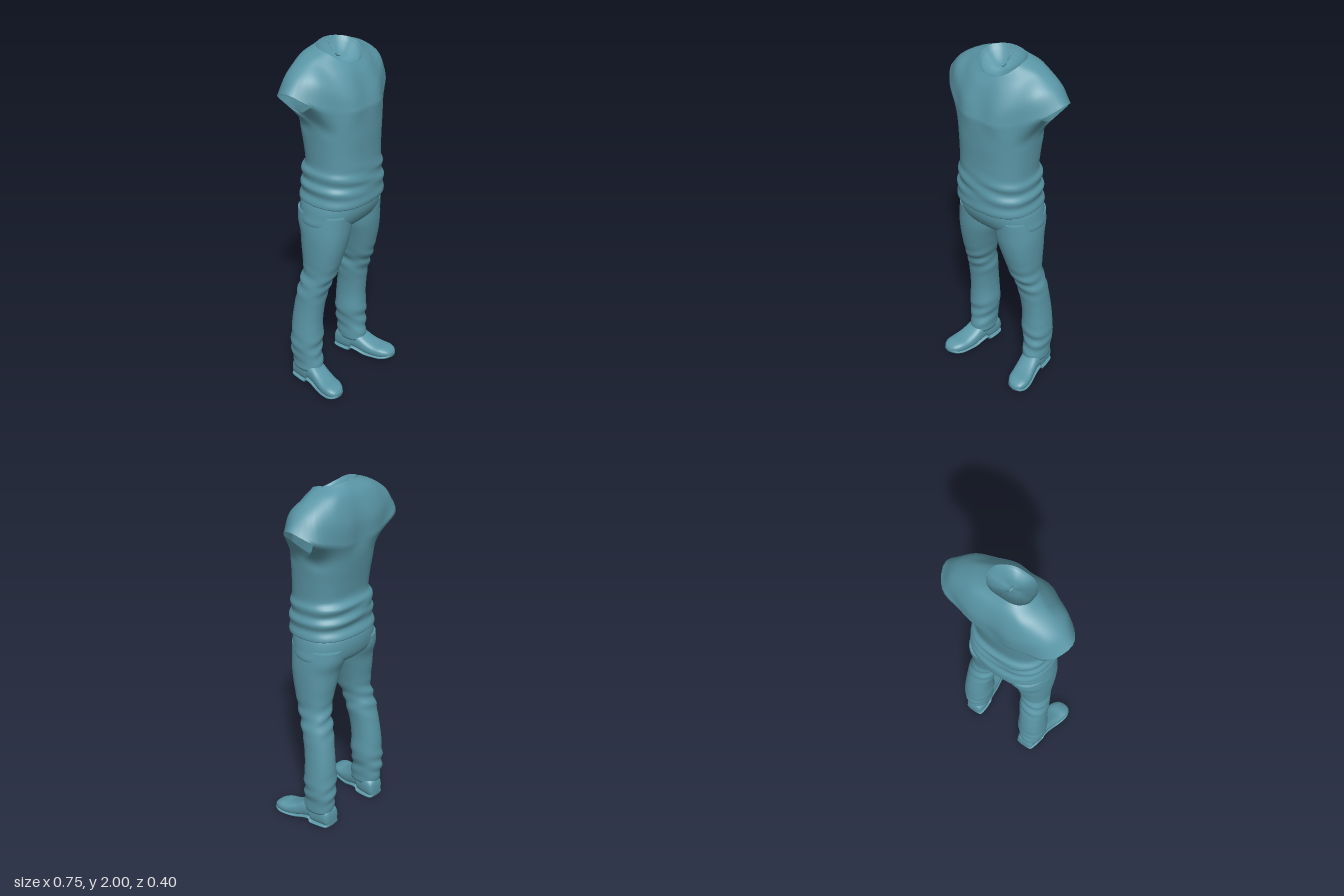
import * as THREE from 'three';
import { mergeGeometries, mergeVertices } from 'three/addons/utils/BufferGeometryUtils.js';

const V = (x, y, z) => new THREE.Vector3(x, y, z);
const N = 64; // points around each cross-section

// Smooth closed section through key points
function sample(keys) {
  const c = new THREE.CatmullRomCurve3(keys, true, 'catmullrom', 0.5);
  return Array.from({ length: N }, (_, i) => c.getPoint(i / N));
}

// Skin a stack of sampled sections, optionally capped and adjusted by a rule
function loft(rings, { steps = 5, capStart = false, capEnd = false, rule = null } = {}) {
  const rows = (rings.length - 1) * steps;
  const pos = [], idx = [];
  const lines = Array.from({ length: N }, (_, i) =>
    new THREE.CatmullRomCurve3(rings.map(r => r[i]), false, 'catmullrom', 0.5));
  for (let j = 0; j <= rows; j++) {
    for (let i = 0; i < N; i++) {
      const p = lines[i].getPoint(j / rows);
      if (rule) rule(p);
      pos.push(p.x, p.y, p.z);
    }
  }
  for (let j = 0; j < rows; j++) {
    for (let i = 0; i < N; i++) {
      const k = (i + 1) % N, a = j * N + i, b = a + N, c = (j + 1) * N + k, d = j * N + k;
      idx.push(a, b, c, a, c, d);
    }
  }
  const cap = (ring, base, flip) => {
    const m = ring.reduce((s, p) => s.add(p), V(0, 0, 0)).divideScalar(N);
    const n = pos.length / 3;
    pos.push(m.x, m.y, m.z);
    for (let i = 0; i < N; i++) {
      const a = base + i, b = base + (i + 1) % N;
      idx.push(n, flip ? b : a, flip ? a : b);
    }
  };
  if (capStart) cap(rings[0], 0, false);
  if (capEnd) cap(rings[rings.length - 1], rows * N, true);
  const g = new THREE.BufferGeometry();
  g.setAttribute('position', new THREE.Float32BufferAttribute(pos, 3));
  g.setIndex(idx);
  g.computeVertexNormals();
  return g;
}

// Mirror a half section (front centre to back centre) into a full one
function mirrored(half) {
  const pts = half.map(p => V(...p));
  return [...pts, ...pts.slice(1, -1).reverse().map(p => V(-p.x, p.y, p.z))];
}

// Level oval section between left/right and front/back limits
function oval(y, x0, x1, zf, zb, e, tilt = 0) {
  const pw = v => Math.sign(v) * Math.abs(v) ** e;
  return Array.from({ length: 16 }, (_, i) => {
    const a = i * Math.PI / 8;
    const z = (zf + zb) / 2 + (zf - zb) / 2 * pw(Math.cos(a));
    return V((x0 + x1) / 2 + (x1 - x0) / 2 * pw(Math.sin(a)), y - z * tilt, z);
  });
}

// Shirt sections: neckline, shoulder, upper chest, sleeve edge
const neckline = mirrored([[0, 1.91, .09], [.05, 1.915, .085], [.09, 1.935, .06], [.12, 1.963, .02],
  [.125, 1.977, -.02], [.12, 1.984, -.06], [.09, 1.99, -.095], [.05, 1.996, -.11], [0, 2, -.113]]);
const shoulder = mirrored([[0, 1.85, .125], [.08, 1.86, .12], [.15, 1.885, .08], [.19, 1.925, .02],
  [.215, 1.943, -.03], [.2, 1.945, -.1], [.15, 1.94, -.15], [.08, 1.935, -.163], [0, 1.93, -.163]]);
const chest = mirrored([[0, 1.77, .155], [.095, 1.77, .16], [.18, 1.8, .115], [.265, 1.86, .05],
  [.305, 1.885, -.04], [.285, 1.87, -.13], [.2, 1.84, -.18], [.1, 1.82, -.2], [0, 1.82, -.193]]);
const sleeveEdge = [[0, 1.69, .18], [.1, 1.69, .178], [.19, 1.7, .128], [.3, 1.75, .062],
  [.373, 1.812, -.05], [.315, 1.76, -.165], [.2, 1.72, -.187], [.1, 1.7, -.202], [0, 1.7, -.193]];
const armpitEdge = sleeveEdge.map((p, i) => (i === 4 ? [.255, 1.675, -.07] : p));

// [y, half width, front z, back z]
const TORSO = [[1.62, .236, .183, -.192], [1.54, .225, .184, -.18], [1.45, .218, .183, -.165],
  [1.37, .215, .186, -.158], [1.33, .227, .193, -.182], [1.285, .222, .191, -.176],
  [1.25, .237, .198, -.187], [1.21, .229, .196, -.177], [1.175, .239, .2, -.192],
  [1.155, .237, .192, -.192], [1.158, .21, .16, -.165]];
const HIPS = [[1.19, .215, .155, -.165], [1.15, .235, .17, -.183], [1.09, .245, .167, -.185],
  [1.03, .247, .138, -.168], [.995, .17, .09, -.12], [.98, .05, .02, -.05]];
// [y, inner x, outer x, front z, back z]
const LEG = [[1.1, .005, .24, .145, -.17], [1.03, 0, .25, .14, -.166], [.96, .012, .254, .134, -.143],
  [.88, .04, .253, .12, -.132], [.8, .064, .25, .1, -.12], [.73, .082, .247, .08, -.116],
  [.67, .1, .255, .055, -.126], [.6, .1, .267, .03, -.14], [.5, .115, .27, .012, -.16],
  [.4, .12, .276, .002, -.174], [.3, .116, .283, .004, -.18], [.22, .13, .282, -.002, -.181],
  [.15, .135, .272, .008, -.177], [.09, .137, .272, .012, -.168]];
// [z, centre x, half width, height, underside y]
const SHOE = [[-.176, .195, .03, .075, .012], [-.165, .195, .051, .11, .006], [-.12, .198, .06, .135, .004],
  [-.065, .204, .062, .14, .005], [-.05, .206, .06, .138, .024], [-.01, .212, .059, .125, .018],
  [.04, .222, .062, .095, .006], [.09, .235, .065, .075, .004], [.14, .245, .061, .068, .006],
  [.175, .251, .043, .054, .012], [.19, .253, .018, .038, .018]];

// Upright section across the foot
function footRing(s, z, cx, hw, top, low) {
  const pw = (v, e) => Math.sign(v) * Math.abs(v) ** e;
  return sample(Array.from({ length: 16 }, (_, i) => {
    const a = i * Math.PI / 8;
    return V(s * cx - hw * pw(Math.cos(a), .75), (top + low) / 2 + (top - low) / 2 * pw(Math.sin(a), .75), z);
  }));
}

export function createModel() {
  const model = new THREE.Group();
  const cloth = new THREE.MeshStandardMaterial({ color: 0x5a96a6, side: THREE.DoubleSide });
  cloth.name = 'dusty teal';
  const add = (geometry, name, parent = model) => {
    const m = new THREE.Mesh(geometry, cloth);
    m.name = name;
    parent.add(m);
    return m;
  };

  // Shirt: shoulders and torso share an edge except at the open sleeves
  const upperEdge = sample(mirrored(sleeveEdge));
  const inSleeve = i => (i > 12 && i < 20) || (i > 44 && i < 52);
  const lowerEdge = sample(mirrored(armpitEdge)).map((p, i) => (inSleeve(i) ? p : upperEdge[i].clone()));
  const yoke = loft([neckline, shoulder, chest].map(sample).concat([upperEdge]), { steps: 8 });
  const torso = loft([lowerEdge, ...TORSO.map(([y, w, f, b]) => sample(oval(y, -w, w, f, b, .82, .04)))], {
    rule: p => { // soft slanting folds at the waist
      const k = Math.exp(-(((p.y - 1.29) / .07) ** 2));
      p.z += Math.sign(p.z) * .005 * k * Math.sin(p.y * 70 + p.x * 14);
    },
  });
  const shirt = mergeGeometries([yoke, torso]);
  shirt.deleteAttribute('normal');
  const shirtSmooth = mergeVertices(shirt, 1e-5);
  shirtSmooth.computeVertexNormals();
  add(shirtSmooth, 'shirt');

  // Hollow inside the neckline, with a small hanging loop
  const rim = sample(neckline);
  const inset = (k, drop) => rim.map(p => V(p.x * k, p.y * k + 1.955 * (1 - k) - drop, p.z * k - .012 * (1 - k)));
  add(loft([inset(.12, .055), inset(.5, .045), inset(.85, .02), rim], { capStart: true }), 'neckHollow');
  const cord = new THREE.CatmullRomCurve3([V(-.003, 1.99, -.097), V(.003, 1.968, -.07), V(0, 1.935, -.045)]);
  add(new THREE.TubeGeometry(cord, 12, .003, 8), 'neckLoop');
  const bead = add(new THREE.SphereGeometry(1, 16, 12), 'neckLoopEnd');
  bead.scale.set(.007, .01, .017);
  bead.position.set(0, 1.925, -.023);

  // Trousers
  add(loft(HIPS.map(([y, w, f, b]) => sample(oval(y, -w, w, f, b, .85))), { capStart: true, capEnd: true }), 'trouserHips');
  for (const s of [1, -1]) {
    const side = s > 0 ? 'left' : 'right';
    const leg = LEG.map(([y, a, b, f, k]) => sample(oval(y, Math.min(s * a, s * b), Math.max(s * a, s * b), f, k, .9)));
    add(loft(leg, {
      capStart: true, capEnd: true,
      rule: p => { // creases around the knee and ankle
        const k = Math.exp(-(((p.y - .66) / .09) ** 2)) + Math.exp(-(((p.y - .22) / .09) ** 2));
        const wave = Math.sin(p.y * 75 + s * p.x * 22 + p.z * 15);
        p.z += .006 * k * wave;
        p.x += .003 * k * wave;
      },
    }), side + 'TrouserLeg');

    // Shoe with a slightly wider sole and a stepped heel
    const shoe = new THREE.Group();
    shoe.name = side + 'Shoe';
    model.add(shoe);
    add(loft(SHOE.map(([z, c, w, t, l]) => footRing(s, z, c, w, t, l)), { capStart: true, capEnd: true }), 'shoeUpper', shoe);
    add(loft(SHOE.map(([z, c, w, , l]) => footRing(s, z, c, w + .003, l + .016, Math.max(0, l - .006))),
      { capStart: true, capEnd: true }), 'shoeSole', shoe);
  }
  return model;
}
